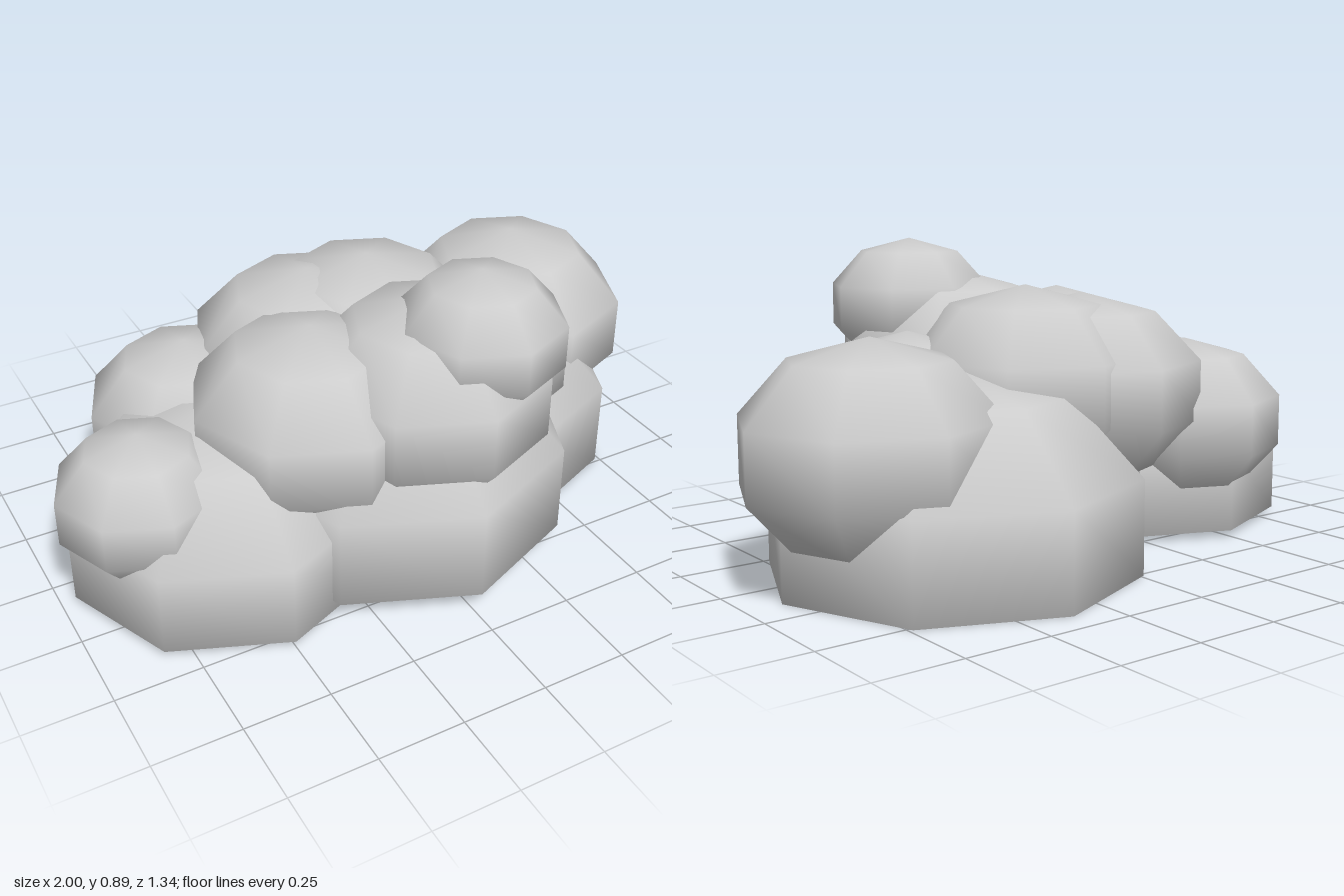
import * as THREE from 'three';

const cloudGrey = new THREE.MeshStandardMaterial({ color: 0xcccccc, side: THREE.DoubleSide });
cloudGrey.name = 'cloudGrey';

// name, centre x, y, z, horizontal radius, vertical radius
const puffs = [
  ['baseFrontPuff', 0.018, 0.192, 0.155, 0.54, 0.435],
  ['baseLeftPuff', 0.363, 0.133, -0.138, 0.558, 0.445],
  ['baseRightPuff', -0.5, 0.14, 0.09, 0.484, 0.39],
  ['sideLeftPuff', 0.64, 0.37, -0.17, 0.38, 0.305],
  ['sideRightPuff', -0.76, 0.335, 0.155, 0.252, 0.21],
  ['backRightPuff', -0.488, 0.34, -0.165, 0.308, 0.25],
  ['backMiddlePuff', -0.11, 0.465, -0.12, 0.37, 0.283],
  ['middlePuff', 0.06, 0.485, -0.073, 0.374, 0.29],
  ['frontRightPuff', -0.25, 0.455, 0.17, 0.368, 0.287],
  ['smallLeftPuff', 0.36, 0.427, 0.088, 0.282, 0.22],
  ['frontTierPuff', 0.06, 0.508, 0.283, 0.368, 0.293],
  ['topPuff', 0.172, 0.692, 0.365, 0.255, 0.203],
];

// True where a point lies safely inside some puff other than its own
function isBuried(point, own) {
  return puffs.some(([name, x, y, z, r, h]) => name !== own &&
    ((point.x - x) / r) ** 2 + ((point.y - y) / h) ** 2 + ((point.z - z) / r) ** 2 < 0.77);
}

// Low-sided smooth ball, with anything under the ground pressed up to y = 0,
// the flat underside left open and faces buried in neighbours left out
function makePuff([name, x, y, z, r, h]) {
  const geo = new THREE.SphereGeometry(1, 8, 5);
  geo.scale(r, h, r);
  geo.translate(x, y, z);
  const pos = geo.attributes.position;
  for (let i = 0; i < pos.count; i++) pos.setY(i, Math.max(0, pos.getY(i)));
  const old = geo.index.array;
  const kept = [];
  for (let i = 0; i < old.length; i += 3) {
    const tri = [old[i], old[i + 1], old[i + 2]];
    const [a, b, c] = tri.map((v) => new THREE.Vector3().fromBufferAttribute(pos, v));
    const onGround = Math.max(a.y, b.y, c.y) < 1e-4;
    const samples = [a, b, c, a.clone().lerp(b, 0.5), b.clone().lerp(c, 0.5), c.clone().lerp(a, 0.5)];
    if (!onGround && !samples.every((p) => isBuried(p, name))) kept.push(...tri);
  }
  geo.setIndex(kept);
  const mesh = new THREE.Mesh(geo, cloudGrey);
  mesh.name = name;
  return mesh;
}

export function createModel() {
  const cloud = new THREE.Group();
  cloud.name = 'cloud';
  for (const p of puffs) cloud.add(makePuff(p));
  return cloud;
}
